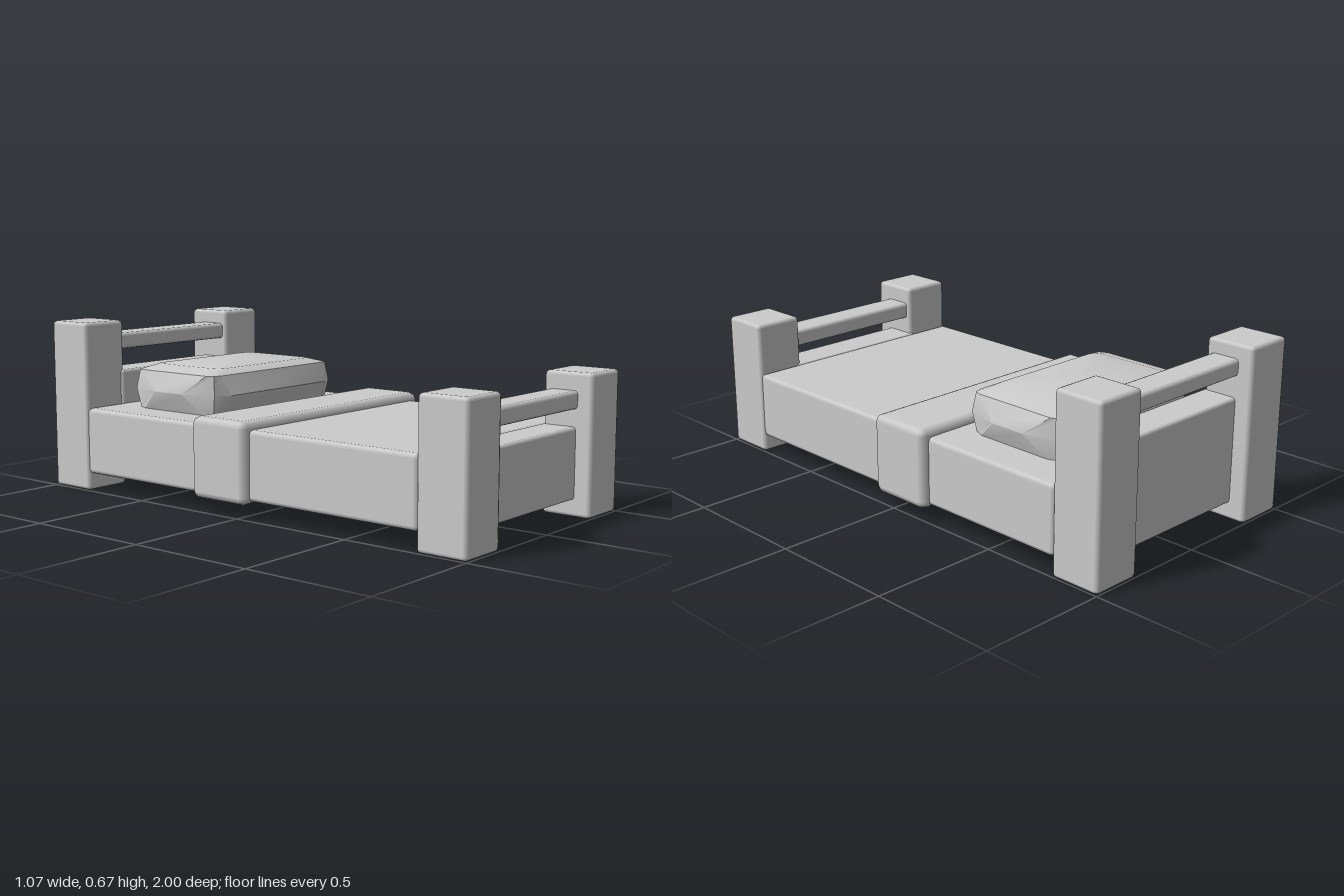
import * as THREE from 'three';
import { RoundedBoxGeometry } from 'three/addons/geometries/RoundedBoxGeometry.js';
import { toCreasedNormals } from 'three/addons/utils/BufferGeometryUtils.js';

const material = new THREE.MeshStandardMaterial({ color: 0xcccccc });

// Bevelled block given by its [min, max] ranges on each axis
function block(name, [x0, x1], [y0, y1], [z0, z1], bevel) {
  const geometry = new RoundedBoxGeometry(x1 - x0, y1 - y0, z1 - z0, 1, bevel);
  const mesh = new THREE.Mesh(geometry, material);
  mesh.name = name;
  mesh.position.set((x0 + x1) / 2, (y0 + y1) / 2, (z0 + z1) / 2);
  return mesh;
}

// One pillow outline: a rectangle whose corners are cut by three points each
function pillowRing(w, d, y, corner) {
  const ring = [];
  for (const [sx, sz, flip] of [[1, 1, 0], [-1, 1, 1], [-1, -1, 0], [1, -1, 1]]) {
    const points = flip ? [...corner].reverse() : corner;
    for (const [px, pz] of points) ring.push([sx * px * w, y, sz * pz * d]);
  }
  return ring;
}

// Pillow skinned from stacked outlines and closed on top
function createPillow() {
  const boxy = [[1, 0.82], [0.96, 0.96], [0.86, 1]];
  const bulged = [[1, 0.3], [0.9, 0.87], [0.74, 1]];
  const rings = [
    pillowRing(0.345, 0.205, 0.325, boxy),
    pillowRing(0.38, 0.245, 0.41, bulged),
    pillowRing(0.345, 0.21, 0.485, boxy),
    pillowRing(0.27, 0.17, 0.505, boxy),
  ];
  const n = rings[0].length;
  const positions = [];
  for (let r = 0; r < rings.length - 1; r++) {
    for (let i = 0; i < n; i++) {
      const j = (i + 1) % n;
      const [b0, b1, t0, t1] = [rings[r][i], rings[r][j], rings[r + 1][i], rings[r + 1][j]];
      positions.push(...b0, ...t0, ...b1, ...t0, ...t1, ...b1);
    }
  }
  const top = rings[rings.length - 1];
  for (let i = 0; i < n; i++) positions.push(0, 0.505, 0, ...top[(i + 1) % n], ...top[i]);

  const geometry = new THREE.BufferGeometry();
  geometry.setAttribute('position', new THREE.Float32BufferAttribute(positions, 3));
  const mesh = new THREE.Mesh(toCreasedNormals(geometry, 0.6), material);
  mesh.name = 'pillow';
  mesh.position.z = -0.47;
  return mesh;
}

// Bed end: two posts, a solid panel and a rail above it
function createBedEnd(name, side, postTop, panelTop, rail) {
  const group = new THREE.Group();
  group.name = name;
  const depth = (inner, outer) => (side > 0 ? [inner, outer] : [-outer, -inner]);
  group.add(
    block('leftPost', [0.3, 0.5], [0, postTop], depth(0.8, 1), 0.015),
    block('rightPost', [-0.5, -0.3], [0, postTop], depth(0.8, 1), 0.015),
    block('panel', [-0.32, 0.32], [0.065, panelTop], depth(0.79, 0.935), 0.012),
    block('rail', [-0.32, 0.32], rail, depth(0.82, 0.94), 0.014),
  );
  return group;
}

export function createModel() {
  const bed = new THREE.Group();
  bed.name = 'bed';
  bed.add(
    createBedEnd('headboard', -1, 0.67, 0.47, [0.55, 0.615]),
    createBedEnd('footboard', 1, 0.535, 0.335, [0.4, 0.468]),
    block('mattress', [-0.5, 0.5], [0.07, 0.333], [-0.805, 0.805], 0.018),
    block('blanketFold', [-0.533, 0.533], [0.057, 0.365], [-0.198, 0.065], 0.028),
    createPillow(),
  );
  return bed;
}
